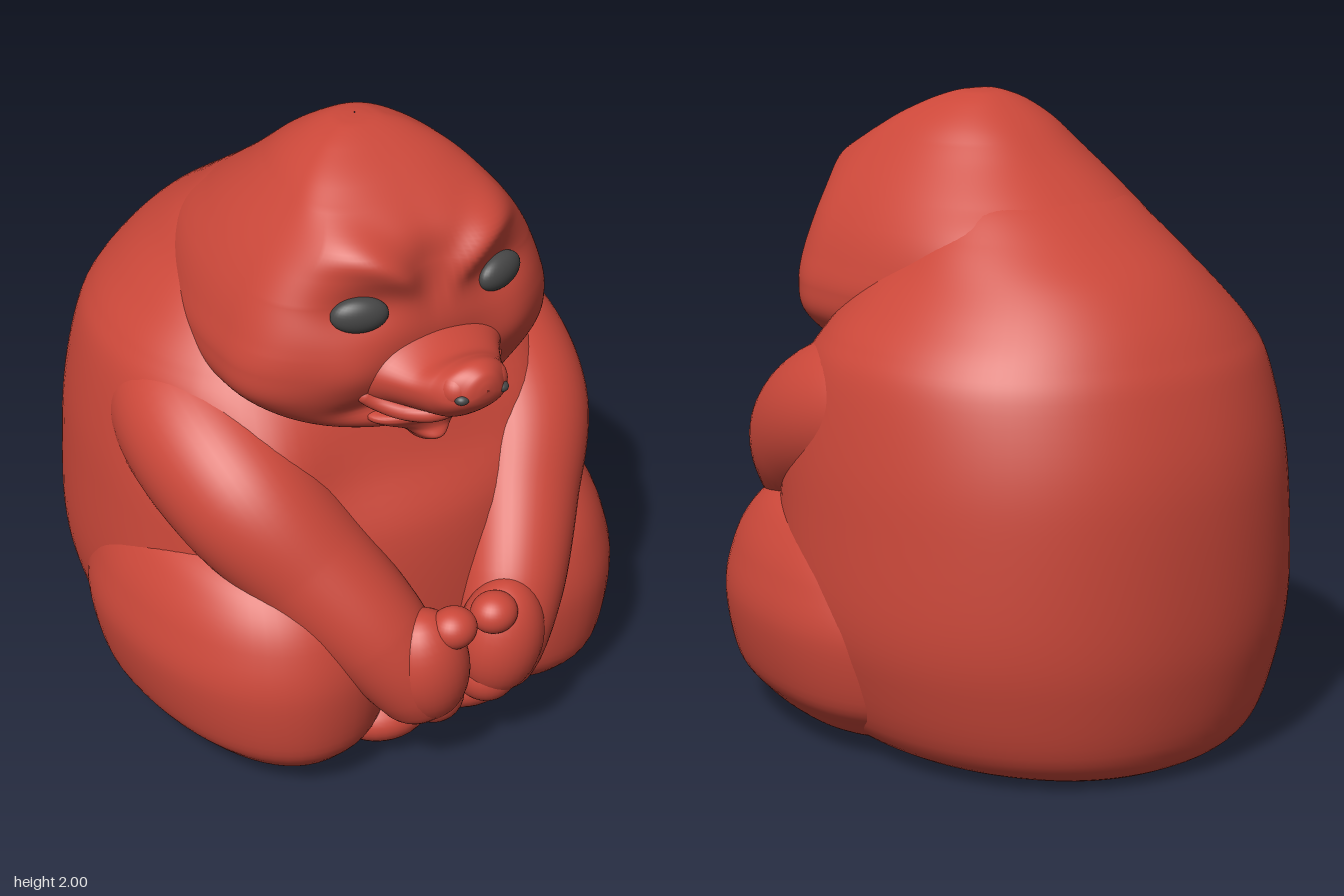
import * as THREE from 'three';
import { ParametricGeometry } from 'three/addons/geometries/ParametricGeometry.js';

const red = new THREE.MeshStandardMaterial({ color: 0xcc483a });
red.name = 'clay red';
const dark = new THREE.MeshStandardMaterial({ color: 0x474747 });
dark.name = 'dark grey';

// Smooth interpolation through rows of numbers, v from 0 to 1
function sample(rows, v) {
  const f = Math.min(Math.max(v, 0), 1) * (rows.length - 1);
  const i = Math.min(Math.floor(f), rows.length - 2), t = f - i;
  const at = (k) => rows[Math.min(Math.max(k, 0), rows.length - 1)];
  return rows[0].map((_, c) => {
    const a = at(i - 1)[c], b = at(i)[c], d = at(i + 1)[c], e = at(i + 2)[c];
    return b + 0.5 * t * (d - a + t * (2 * a - 5 * b + 4 * d - e + t * (3 * (b - d) + e - a)));
  });
}

// Surface through egg-shaped rings; rows are [y, half width, z back, z front]
function loft(rows, zMid, power, cx = 0, relief = () => 0) {
  return (u, v, target) => {
    const [y, w, back, front] = sample(rows, v);
    const a = -u * Math.PI * 2, c = Math.cos(a), s = Math.sin(a);
    const margin = 0.3 * (front - back);
    const mid = Math.min(Math.max(zMid, back + margin), front - margin);
    const bend = (k) => Math.sign(k) * Math.abs(k) ** (2 / power);
    const x = cx + Math.max(w, 0.001) * bend(c);
    const z = mid + bend(s) * (s > 0 ? front - mid : mid - back);
    target.set(x, y, z + relief(Math.abs(x), y) * Math.min(1, Math.max(0, s) * 2));
  };
}

// Round-ended limb along a curve; rows are [x, y, z, radius]
function limb(rows) {
  const curve = new THREE.CatmullRomCurve3(rows.map((r) => new THREE.Vector3(r[0], r[1], r[2])));
  const radii = rows.map((r) => [r[3]]);
  const side = new THREE.Vector3(1, 0, 0);
  return (u, v, target) => {
    const p = curve.getPoint(v), t = curve.getTangent(v);
    const n = t.clone().cross(side).normalize(), b = t.clone().cross(n);
    const end = Math.max(0, (Math.abs(2 * v - 1) - 0.8) / 0.2);
    const r = sample(radii, v)[0] * Math.sqrt(Math.max(0, 1 - end * end)) + 0.001;
    const a = u * Math.PI * 2;
    target.copy(p).addScaledVector(n, r * Math.cos(a)).addScaledVector(b, r * Math.sin(a));
  };
}

function surface(parent, name, fn, slices, stacks, side = 1) {
  const mirrored = (u, v, target) => {
    fn(u * side, v, target);
    target.x *= side;
  };
  const mesh = new THREE.Mesh(new ParametricGeometry(mirrored, slices, stacks), red);
  mesh.name = name;
  parent.add(mesh);
  return mesh;
}

function blob(parent, name, pos, size, material = red, turn = [0, 0, 0]) {
  const mesh = new THREE.Mesh(new THREE.SphereGeometry(1, 32, 20), material);
  mesh.name = name;
  mesh.position.set(...pos);
  mesh.scale.set(...size);
  mesh.rotation.set(...turn);
  parent.add(mesh);
}

const bump = (x, y, cx, cy, sx, sy) => Math.exp(-(((x - cx) / sx) ** 2) - ((y - cy) / sy) ** 2);

// Brow ridges, eye sockets, cheeks and the hollow between the brows
const faceRelief = (x, y) =>
  0.05 * bump(x, y, 0.22, 1.77 - 2.2 * (x - 0.3) ** 2, 0.17, 0.065) * (1 - bump(x, 0, 0, 0, 0.08, 1))
  - 0.03 * bump(x, y, 0.245, 1.6, 0.12, 0.07)
  - 0.025 * bump(x, y, 0, 1.68, 0.08, 0.12)
  + 0.025 * bump(x, y, 0.28, 1.4, 0.12, 0.09)
  - 0.03 * bump(x, y, 0.18, 1.25, 0.12, 0.04);

// Shoulders swelling out of the chest
const chestRelief = (x, y) => 0.09 * bump(x, y, 0.5, 1.06, 0.2, 0.2);

export function createModel() {
  const model = new THREE.Group();
  model.name = 'sittingAnimal';

  // Rounded body with a sloping back
  surface(model, 'body', loft([
    [0.005, 0.002, -0.1, -0.09], [0.006, 0.42, -0.66, 0.4], [0.02, 0.54, -0.78, 0.54],
    [0.1, 0.67, -0.86, 0.62], [0.3, 0.75, -0.91, 0.68], [0.5, 0.785, -0.93, 0.69],
    [0.8, 0.775, -0.925, 0.65], [1.0, 0.755, -0.9, 0.54], [1.2, 0.715, -0.84, 0.46],
    [1.3, 0.665, -0.79, 0.41], [1.4, 0.58, -0.72, 0.36], [1.5, 0.49, -0.62, 0.3],
    [1.6, 0.41, -0.475, 0.25], [1.7, 0.31, -0.325, 0.2], [1.75, 0.2, -0.23, 0.1],
    [1.77, 0.005, -0.1, -0.09],
  ], -0.1, 2.15, 0, chestRelief), 96, 80);

  // Head with face relief
  const head = new THREE.Group();
  head.name = 'head';
  model.add(head);
  surface(head, 'skull', loft([
    [1.13, 0.01, 0.4, 0.42], [1.14, 0.2, 0.2, 0.54], [1.19, 0.39, 0.05, 0.58],
    [1.3, 0.53, -0.2, 0.6], [1.4, 0.55, -0.4, 0.62], [1.5, 0.525, -0.48, 0.63],
    [1.6, 0.485, -0.46, 0.62], [1.7, 0.425, -0.325, 0.605], [1.8, 0.345, -0.19, 0.555],
    [1.9, 0.25, -0.07, 0.42], [1.96, 0.16, 0.02, 0.31], [1.99, 0.085, 0.08, 0.24],
    [1.998, 0.04, 0.12, 0.2], [2.0, 0.002, 0.158, 0.162],
  ], 0.3, 2.4, 0, faceRelief), 144, 110);

  // Snout lofted forwards: rows are [z, half width, -top, -bottom]
  const snout = surface(head, 'snout', loft([
    [0.5, 0.32, -1.56, -1.22], [0.58, 0.265, -1.53, -1.235], [0.64, 0.21, -1.48, -1.25],
    [0.71, 0.165, -1.455, -1.26], [0.77, 0.135, -1.47, -1.275], [0.82, 0.112, -1.482, -1.31],
    [0.86, 0.07, -1.465, -1.35], [0.875, 0.035, -1.44, -1.38], [0.88, 0.003, -1.415, -1.41],
  ], -1.38, 2), 56, 44);
  snout.geometry.rotateX(Math.PI / 2);

  // Lower jaw narrowing to the chin
  surface(head, 'jaw', loft([
    [1.1, 0.005, 0.56, 0.58], [1.102, 0.04, 0.5, 0.61], [1.125, 0.06, 0.48, 0.645],
    [1.155, 0.1, 0.46, 0.632], [1.185, 0.17, 0.44, 0.635], [1.21, 0.2, 0.44, 0.65],
    [1.228, 0.17, 0.46, 0.64], [1.232, 0.005, 0.54, 0.56],
  ], 0.55, 2), 48, 36);

  for (const side of [1, -1]) {
    const label = side > 0 ? 'left' : 'right';

    // Eyes, nostrils and upper lip
    blob(head, label + 'Eye', [side * 0.245, 1.59, 0.575], [0.088, 0.056, 0.042], dark, [0, side * 0.3, side * 0.05]);
    blob(head, label + 'NostrilRim', [side * 0.055, 1.4, 0.8], [0.058, 0.058, 0.058]);
    blob(head, label + 'Nostril', [side * 0.07, 1.39, 0.85], [0.022, 0.016, 0.02], dark, [0, side * 0.4, 0]);
    surface(head, label + 'UpperLip', limb([
      [-0.01, 1.272, 0.72, 0.022], [0.07, 1.268, 0.71, 0.025], [0.14, 1.27, 0.655, 0.026],
      [0.2, 1.295, 0.6, 0.026], [0.25, 1.33, 0.575, 0.022],
    ]), 20, 40, side);

    // Folded leg
    surface(model, label + 'Leg', loft([
      [0.03, 0.01, 0.2, 0.25], [0.035, 0.18, -0.1, 0.54], [0.06, 0.26, -0.22, 0.63],
      [0.11, 0.32, -0.3, 0.7], [0.2, 0.385, -0.38, 0.755], [0.4, 0.425, -0.42, 0.77],
      [0.55, 0.4, -0.38, 0.735], [0.66, 0.355, -0.3, 0.67], [0.74, 0.295, -0.2, 0.57],
      [0.785, 0.2, -0.05, 0.43], [0.8, 0.01, 0.2, 0.23],
    ], 0.1, 2.15, 0.42), 64, 56, side);
    blob(model, label + 'Foot', [side * 0.16, 0.14, 0.57], [0.17, 0.1, 0.16]);

    // Arm reaching down to the lap
    surface(model, label + 'Arm', limb([
      [0.38, 1.1, -0.3, 0.2], [0.51, 1.065, 0.03, 0.245], [0.5, 0.93, 0.33, 0.235],
      [0.375, 0.72, 0.53, 0.2], [0.25, 0.52, 0.69, 0.17], [0.165, 0.36, 0.76, 0.14],
      [0.12, 0.22, 0.76, 0.1],
    ]), 48, 64, side);

    // Clasped hand
    blob(model, label + 'Hand', [side * 0.14, 0.43, 0.8], [0.14, 0.2, 0.13], red, [0, 0, side * -0.15]);
    blob(model, label + 'Thumb', [side * 0.075, 0.575, 0.85], [0.075, 0.065, 0.07]);
    blob(model, label + 'Fingers', [side * 0.1, 0.3, 0.78], [0.1, 0.1, 0.105]);
  }
  return model;
}
